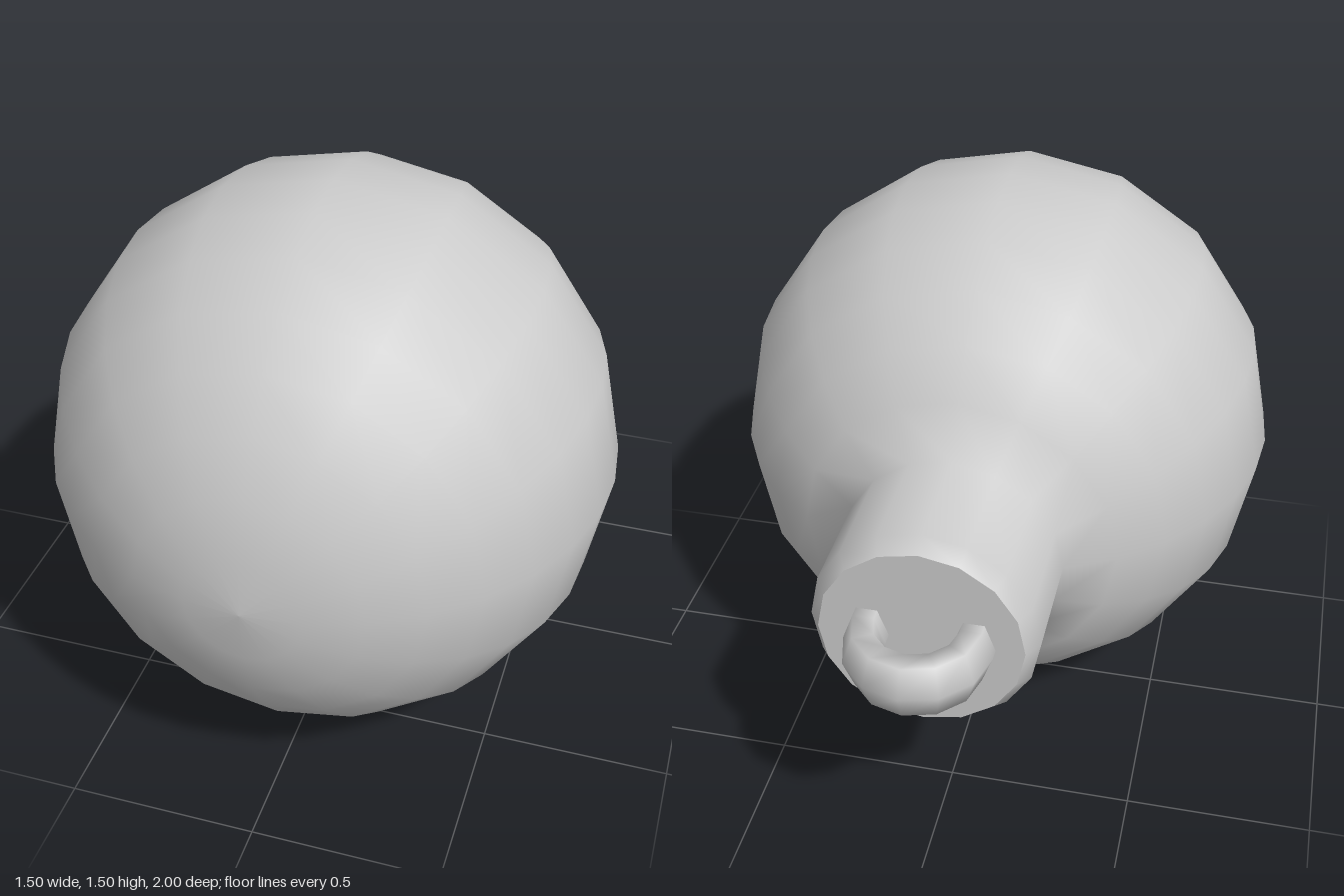
import * as THREE from 'three';

const material = new THREE.MeshStandardMaterial({ color: 0xcccccc });
const RADIUS = 0.752, CENTRE_Y = 0.752, CENTRE_Z = 0.248;

// Parts are modelled upright, then tipped so that up becomes the back (-z)
function addPart(group, name, geometry, z) {
  geometry.rotateX(-Math.PI / 2);
  geometry.translate(0, CENTRE_Y, z);
  const mesh = new THREE.Mesh(geometry, material);
  mesh.name = name;
  group.add(mesh);
}

export function createModel() {
  const model = new THREE.Group();
  model.name = 'bauble';

  // Ball running smoothly into a short neck with a bevelled rim
  const profile = [];
  for (let i = 0; i <= 14; i++) {
    const a = (i / 16) * Math.PI;
    profile.push(new THREE.Vector2(RADIUS * Math.sin(a), -RADIUS * Math.cos(a)));
  }
  const neckRadius = profile[14].x;
  const top = 0.786 + CENTRE_Z;
  profile.push(
    new THREE.Vector2(neckRadius, top - 0.042),
    new THREE.Vector2(neckRadius - 0.03, top),
  );
  addPart(model, 'ballAndNeck', new THREE.LatheGeometry(profile, 16), CENTRE_Z);

  // Flat end of the neck
  const end = new THREE.CircleGeometry(neckRadius - 0.03, 16);
  end.rotateX(-Math.PI / 2);
  addPart(model, 'neckEnd', end, -0.786);

  // Hanging loop: half ring on two short legs, six-sided in section
  const loop = new THREE.Group();
  loop.name = 'hangingLoop';
  const ring = 0.132, tube = 0.053, stretch = 1.58, loopZ = -0.815;
  const arch = new THREE.TorusGeometry(ring, tube, 6, 6, Math.PI);
  arch.scale(1, 1, stretch);
  addPart(loop, 'loopArch', arch, loopZ);
  for (const side of [-1, 1]) {
    const leg = new THREE.CylinderGeometry(tube, tube, 0.05, 6, 1, true, Math.PI / 2);
    leg.scale(1, 1, stretch);
    leg.translate(side * ring, -0.025, 0);
    addPart(loop, side > 0 ? 'leftLoopLeg' : 'rightLoopLeg', leg, loopZ);
  }
  model.add(loop);

  return model;
}
